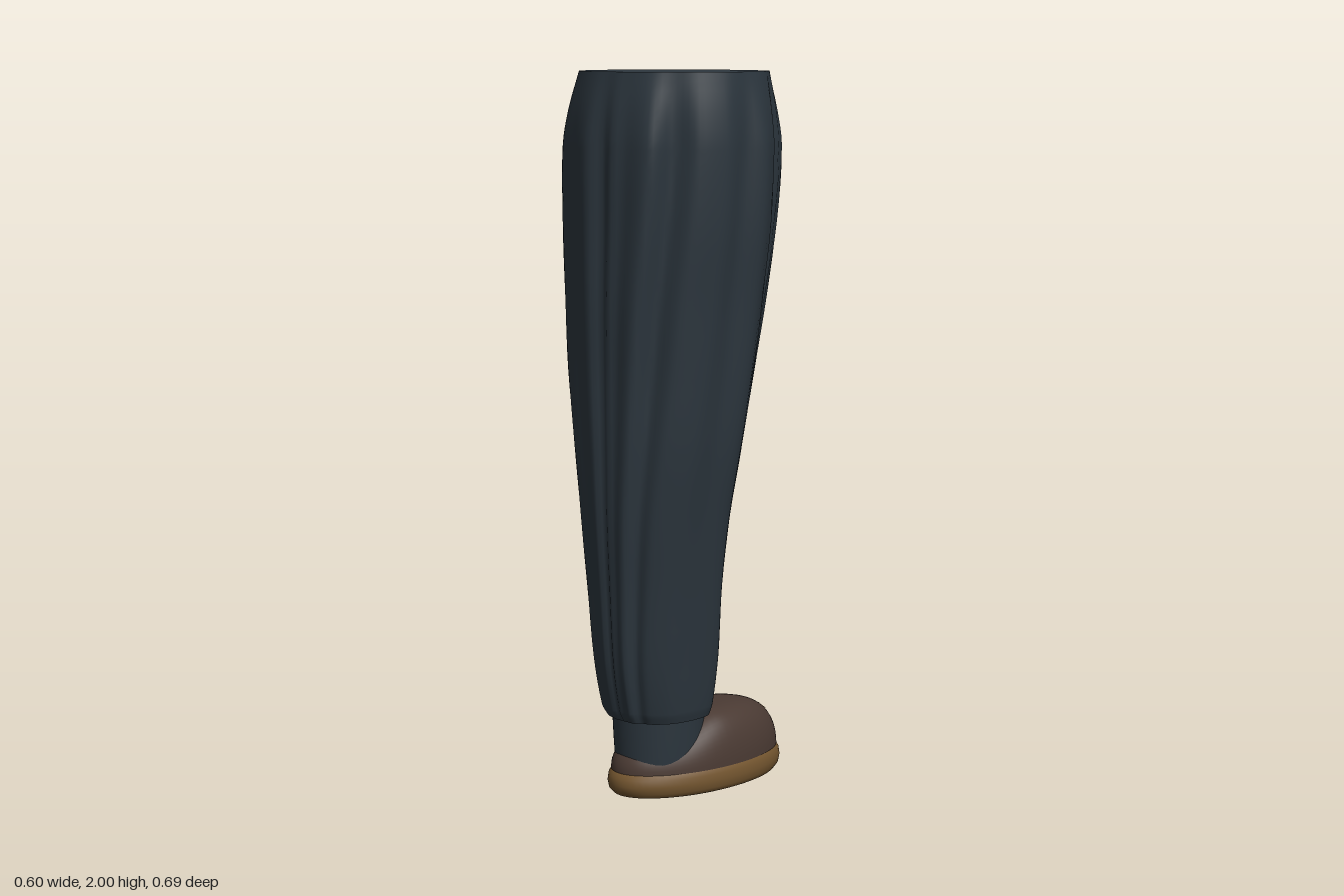
import * as THREE from 'three';
import { mergeVertices } from 'three/addons/utils/BufferGeometryUtils.js';

const SIDES = 120;

// Trouser outline by height: y, min x, max x, min z, max z, fold strength
const SECTIONS = [
  [0.23, -0.175, 0.105, -0.055, 0.235, 0.5],
  [0.26, -0.188, 0.115, -0.065, 0.25, 0.6],
  [0.4, -0.195, 0.135, -0.08, 0.28, 0.75],
  [0.6, -0.205, 0.16, -0.08, 0.3, 0.8],
  [0.8, -0.217, 0.19, -0.095, 0.32, 0.85],
  [1.0, -0.245, 0.225, -0.125, 0.33, 0.9],
  [1.2, -0.275, 0.25, -0.16, 0.335, 1],
  [1.4, -0.285, 0.27, -0.19, 0.343, 1],
  [1.6, -0.3, 0.293, -0.21, 0.345, 1],
  [1.8, -0.303, 0.3, -0.22, 0.345, 0.9],
  [1.9, -0.29, 0.29, -0.205, 0.333, 0.55],
  [2.0, -0.265, 0.27, -0.18, 0.31, 0.12],
];

// Fold ridges and valleys around the leg: angle in degrees, radius factor
const FOLDS = [
  [-12, 1.01], [0, 0.91], [14, 0.98], [30, 0.99], [43, 0.9], [56, 1.05], [72, 0.97],
  [78, 0.99], [86, 0.93], [96, 1.01], [114, 0.98], [137, 1.04], [154, 0.89], [168, 0.89],
  [180, 1], [202, 0.87], [217, 0.95], [226, 0.99], [244, 0.9], [264, 1.01], [285, 0.88],
  [303, 1.02], [313, 0.97], [323, 0.88], [334, 0.965], [348, 1.01],
];

function foldAt(angle) {
  const d = THREE.MathUtils.euclideanModulo(angle + 12, 360) - 12;
  const i = FOLDS.findIndex((f, k) => k + 1 < FOLDS.length && d <= FOLDS[k + 1][0]);
  const [a, b] = [FOLDS[Math.max(i, 0)], FOLDS[Math.max(i, 0) + 1]];
  return THREE.MathUtils.lerp(a[1], b[1], THREE.MathUtils.smoothstep(d, a[0], b[0]));
}

// Joins closed rings of points into one smooth surface
function loft(rings) {
  const n = rings[0].length;
  const index = [];
  for (let j = 0; j < rings.length - 1; j++) {
    for (let i = 0; i < n; i++) {
      const a = j * n + i, b = j * n + (i + 1) % n;
      index.push(a, a + n, b, b, a + n, b + n);
    }
  }
  const geometry = new THREE.BufferGeometry().setFromPoints(rings.flat());
  geometry.setIndex(index);
  geometry.computeVertexNormals();
  return geometry;
}

// One pleated trouser ring; the folds drift with height
function trouserRing([y, x0, x1, z0, z1, strength]) {
  const drift = 20 * THREE.MathUtils.clamp((1.8 - y) / 1.4, 0, 1);
  return Array.from({ length: SIDES }, (_, i) => {
    const a = (i / SIDES) * Math.PI * 2;
    const deg = THREE.MathUtils.radToDeg(a) - drift * Math.sin(2 * a);
    const r = 1 + (foldAt(deg) - 1) * strength;
    return new THREE.Vector3(
      (x0 + x1) / 2 + Math.cos(a) * r * (x1 - x0) / 2, y,
      (z0 + z1) / 2 + Math.sin(a) * r * (z1 - z0) / 2);
  });
}

// Smoothly resampled sections
function trouserRings() {
  const rings = [];
  const steps = 4, last = SECTIONS.length - 1;
  for (let k = 0; k <= last * steps; k++) {
    const j = Math.min(Math.floor(k / steps), last - 1), t = k / steps - j;
    const s = [-1, 0, 1, 2].map(o => SECTIONS[THREE.MathUtils.clamp(j + o, 0, last)]);
    const slope = (p, q, c) => (q[c] - p[c]) / (q[0] - p[0]) * (s[2][0] - s[1][0]);
    rings.push(trouserRing(s[1].map((v, c) => {
      if (c === 0) return THREE.MathUtils.lerp(v, s[2][0], t);
      const m0 = slope(s[0], s[2], c), m1 = slope(s[1], s[3], c);
      const t2 = t * t, t3 = t2 * t;
      return (2 * t3 - 3 * t2 + 1) * v + (t3 - 2 * t2 + t) * m0
        + (3 * t2 - 2 * t3) * s[2][c] + (t3 - t2) * m1;
    })));
  }
  return rings;
}

function centreRing(ring) {
  const c = ring.reduce((sum, p) => sum.add(p), new THREE.Vector3()).divideScalar(ring.length);
  return ring.map(() => c.clone());
}

// Elliptical lathe, used for the shoe parts
function ovalLathe(profile, rx, rz, cx, cz) {
  const geometry = new THREE.LatheGeometry(profile.map(p => new THREE.Vector2(...p)), 64);
  return geometry.scale(rx, 1, rz).translate(cx, 0, cz);
}

function smooth(geometry) {
  geometry.deleteAttribute('uv');
  geometry.deleteAttribute('normal');
  const merged = mergeVertices(geometry, 1e-5);
  merged.computeVertexNormals();
  return merged;
}

// Height of the shoe upper: low at the heel, high over the instep
function upperHeight(r, z) {
  const crown = THREE.MathUtils.lerp(0.15, 0.1, THREE.MathUtils.smoothstep(z, -0.06, 0.12));
  return 0.08 + crown * Math.sqrt(Math.max(0, 1 - r ** 4));
}

function shoeUpper() {
  const profile = [];
  for (let i = 0; i <= 20; i++) profile.push([Math.cos(i / 20 * Math.PI / 2), i / 20]);
  const geometry = ovalLathe(profile, 0.152, 0.285, -0.038, -0.047);
  const p = geometry.attributes.position;
  for (let i = 0; i < p.count; i++) {
    const r = Math.hypot((p.getX(i) + 0.038) / 0.152, (p.getZ(i) + 0.047) / 0.285);
    p.setY(i, upperHeight(Math.min(r, 1), p.getZ(i)));
  }
  return smooth(geometry);
}

// Small forked patch lying on the toe
function toeMark() {
  const shape = new THREE.Shape([[0, 0.017], [0.011, -0.007], [0.006, -0.011], [0, 0.002],
    [-0.006, -0.011], [-0.011, -0.007]].map(p => new THREE.Vector2(...p)));
  const geometry = new THREE.ShapeGeometry(shape).rotateX(-Math.PI / 2).translate(0.01, 0, -0.262);
  const p = geometry.attributes.position;
  for (let i = 0; i < p.count; i++) {
    const r = Math.hypot((p.getX(i) + 0.038) / 0.152, (p.getZ(i) + 0.047) / 0.285);
    p.setY(i, upperHeight(r, p.getZ(i)) + 0.003);
  }
  geometry.computeVertexNormals();
  return geometry;
}

export function createModel() {
  const model = new THREE.Group();
  model.name = 'leg';
  const material = (name, color) => {
    const m = new THREE.MeshStandardMaterial({ color });
    m.name = name;
    return m;
  };
  const cloth = material('navy cloth', 0x2c363e);
  const leather = material('brown leather', 0x4a3a33);
  const tan = material('tan sole', 0x73552f);
  const add = (name, geometry, mat) => {
    const mesh = new THREE.Mesh(geometry, mat);
    mesh.name = name;
    model.add(mesh);
  };

  // Trouser leg with closed top and hem
  const rings = trouserRings();
  const hem = rings[0], waist = rings[rings.length - 1];
  add('trouserLeg', loft(rings), cloth);
  add('trouserTop', loft([waist, centreRing(waist)]), cloth);
  add('trouserHem', loft([centreRing(hem), hem]), cloth);

  // Sock between hem and shoe
  add('sock', ovalLathe([[0.94, 0.1], [0.97, 0.16], [1, 0.24]], 0.122, 0.134, -0.036, 0.093), cloth);

  // Shoe
  add('shoeUpper', shoeUpper(), leather);
  add('toeMark', toeMark(), tan);
  const sole = [[0, 0.01], [0.86, 0.01], [0.94, 0.015], [0.985, 0.028], [1, 0.047],
    [0.988, 0.066], [0.95, 0.08], [0.9, 0.085], [0, 0.085]];
  add('sole', ovalLathe(sole, 0.157, 0.297, -0.038, -0.047), tan);
  add('solePad', ovalLathe([[0, 0], [0.9, 0.001], [1, 0.012]], 0.042, 0.07, -0.038, -0.047), leather);
  return model;
}
